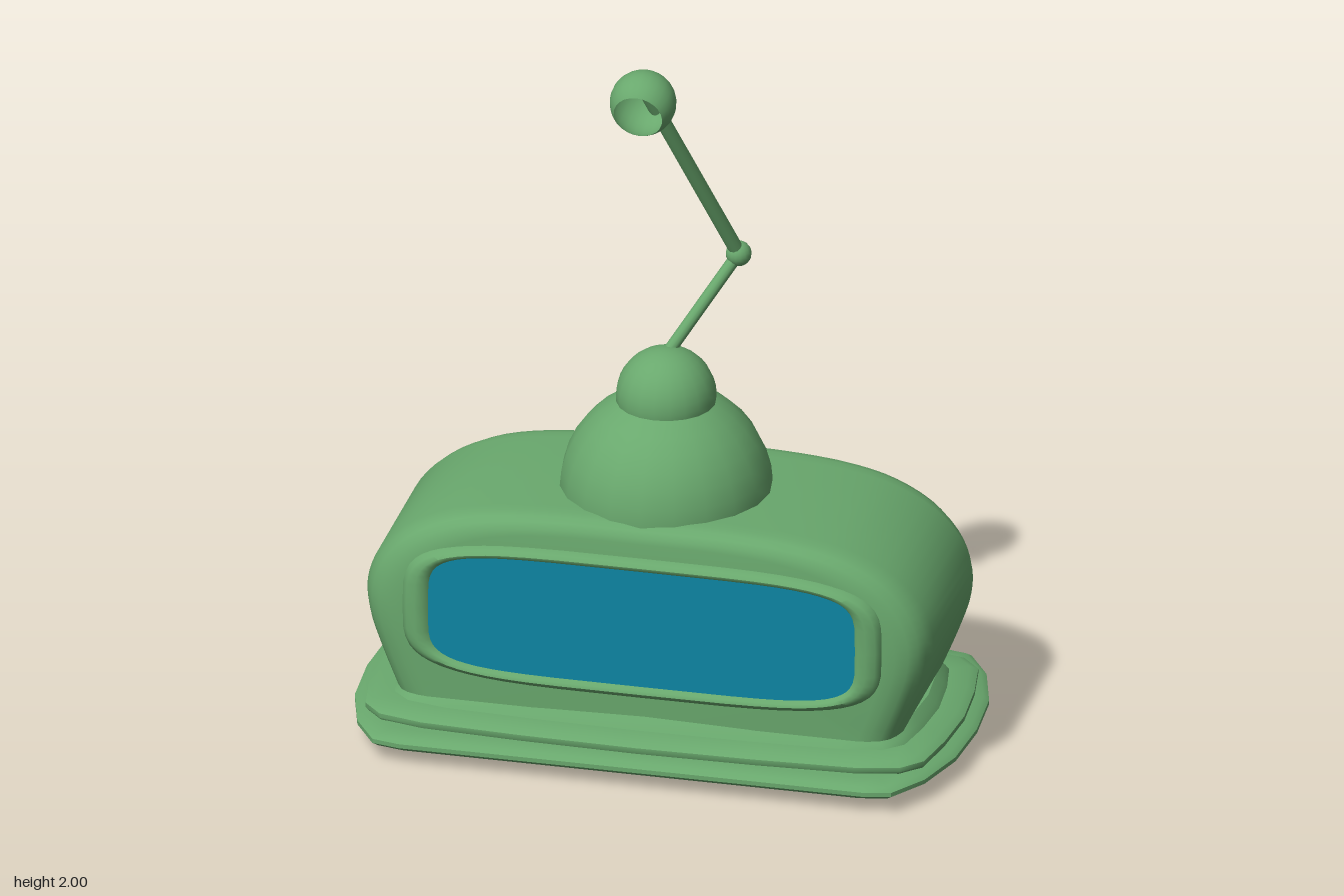
import * as THREE from 'three';
import { toCreasedNormals, mergeVertices } from 'three/addons/utils/BufferGeometryUtils.js';

const V = (x, y, z) => new THREE.Vector3(x, y, z);
const green = new THREE.MeshStandardMaterial({ color: 0x69a86d });
const greenShell = new THREE.MeshStandardMaterial({ color: 0x69a86d, side: THREE.DoubleSide });
const blue = new THREE.MeshStandardMaterial({ color: 0x0e86a4 });

// Skin closed rings (counter-clockwise about the direction of travel), with optional end caps
function loft(rings, caps = true, crease = 0.7) {
  const n = rings[0].length, pos = [], idx = [];
  rings.forEach(r => r.forEach(p => pos.push(p.x, p.y, p.z)));
  for (let k = 0; k < rings.length - 1; k++)
    for (let i = 0; i < n; i++) {
      const a = k * n + i, b = k * n + (i + 1) % n;
      idx.push(a, b, b + n, a, b + n, a + n);
    }
  if (caps) [0, rings.length - 1].forEach((k, end) => {
    const c = pos.length / 3;
    const m = rings[k].reduce((s, p) => s.add(p), V(0, 0, 0)).divideScalar(n);
    pos.push(m.x, m.y, m.z);
    for (let i = 0; i < n; i++) {
      const a = k * n + i, b = k * n + (i + 1) % n;
      if (end) idx.push(c, a, b); else idx.push(c, b, a);
    }
  });
  const g = new THREE.BufferGeometry();
  g.setAttribute('position', new THREE.Float32BufferAttribute(pos, 3));
  g.setIndex(idx);
  return toCreasedNormals(mergeVertices(g), crease);
}

// Mirror a quarter outline (from +x to the far edge) into a full unit loop
function fullLoop(quarter) {
  const half = [...quarter, ...quarter.slice(0, -1).reverse().map(([x, v]) => [-x, v])];
  return [...half, ...half.slice(1, -1).reverse().map(([x, v]) => [x, -v])];
}

// Stack of horizontal layers [halfX, halfZ, y] sharing one outline
const stack = (quarter, layers) => loft(layers.map(([hx, hz, y]) =>
  fullLoop(quarter).map(([x, v]) => V(x * hx, y, -v * hz))));

// Upright squared oval in the xy plane
function oval(hx, hy, z, power, n = 56) {
  const f = t => Math.sign(t) * Math.pow(Math.abs(t), 2 / power);
  return Array.from({ length: n }, (_, i) => {
    const a = i / n * Math.PI * 2;
    return V(-0.005 + hx * f(Math.cos(a)), 0.41 + hy * f(Math.sin(a)), z);
  });
}

export function createModel() {
  const root = new THREE.Group();
  const add = (name, geo, mat = green, p = V(0, 0, 0)) => {
    const m = new THREE.Mesh(geo, mat);
    m.name = name;
    m.position.copy(p);
    root.add(m);
    return m;
  };

  // Stepped base: foot, wide flange and raised step under the body
  const wide = [[1, 0], [0.985, 0.4], [0.93, 0.74], [0.85, 0.965], [0.76, 1], [0.4, 1], [0, 1]];
  const soft = [[1, 0], [0.985, 0.4], [0.955, 0.74], [0.89, 0.88], [0.74, 0.95], [0.4, 0.985], [0, 1]];
  add('baseFoot', stack(wide, [[0.77, 0.365, 0], [0.805, 0.39, 0.012], [0.805, 0.39, 0.028], [0.78, 0.37, 0.045]]));
  add('baseFlange', stack(wide, [[0.79, 0.41, 0.037], [0.83, 0.455, 0.041], [0.845, 0.468, 0.052],
    [0.845, 0.468, 0.064], [0.83, 0.455, 0.075], [0.79, 0.41, 0.08]]));
  add('baseStep', stack(soft, [[0.8, 0.4, 0.07], [0.81, 0.41, 0.085], [0.81, 0.41, 0.098], [0.79, 0.39, 0.11],
    [0.74, 0.335, 0.115], [0.73, 0.325, 0.13], [0.71, 0.31, 0.15]]));

  // Body: one bulging profile swept front to back with softened ends
  const side = [[0.7, 0.14], [0.745, 0.25], [0.778, 0.35], [0.783, 0.43], [0.757, 0.51],
    [0.69, 0.59], [0.58, 0.652], [0.45, 0.685], [0.25, 0.702]];
  const profile = new THREE.CatmullRomCurve3([
    ...side.map(([x, y]) => V(x, y, 0)), V(0, 0.703, 0),
    ...side.slice().reverse().map(([x, y]) => V(-x, y, 0))]).getPoints(60);
  const ends = [[0.312, 0.85, 0.915], [0.308, 0.89, 0.945], [0.297, 0.935, 0.972], [0.28, 0.965, 0.99], [0.255, 0.985, 0.998], [0.22, 1, 1]];
  const spans = [...ends.map(([z, sx, sy]) => [-z, sx, sy]), ...ends.slice().reverse()];
  add('body', loft(spans.map(([z, sx, sy]) =>
    profile.map(p => V(p.x * sx - 0.005, 0.14 + (p.y - 0.14) * sy, z))), true, 0.9));

  // Window with a raised frame
  add('windowFrame', loft([oval(0.665, 0.206, 0.295, 4), oval(0.663, 0.205, 0.318, 4), oval(0.65, 0.198, 0.331, 4),
    oval(0.625, 0.187, 0.339, 4.4), oval(0.603, 0.177, 0.336, 4.8), oval(0.59, 0.17, 0.32, 5)], false, 0.9));
  add('window', loft([oval(0.592, 0.171, 0.305, 5), oval(0.592, 0.171, 0.322, 5)]), blue);

  // Two stacked domes
  const dome = (r, n) => new THREE.SphereGeometry(r, n, 10, 0, Math.PI * 2, 0, Math.PI * 0.55);
  add('dome', dome(0.288, 20), green, V(-0.016, 0.69, 0));
  add('domeCap', dome(0.136, 20), green, V(-0.016, 0.96, 0));

  // Jointed arm
  const rod = (name, a, b, r) => {
    const m = add(name, new THREE.CylinderGeometry(r, r, a.distanceTo(b), 12), green, a.clone().lerp(b, 0.5));
    m.quaternion.setFromUnitVectors(V(0, 1, 0), b.clone().sub(a).normalize());
  };
  const elbow = V(0.145, 1.325, -0.16);
  rod('lowerArm', V(-0.02, 1.07, -0.02), elbow, 0.017);
  rod('upperArm', elbow, V(-0.048, 1.965, 0.168), 0.02);
  add('elbow', new THREE.SphereGeometry(0.035, 16, 12), green, elbow);

  // Hollow ball at the tip, open toward the front and slightly down
  const ball = add('eyeShell', new THREE.SphereGeometry(0.09, 24, 16, 0, Math.PI * 2, 0.84, Math.PI - 0.84),
    greenShell, V(-0.033, 1.91, 0.19));
  ball.quaternion.setFromUnitVectors(V(0, 1, 0), V(0, -0.28, 0.96).normalize());

  return root;
}
